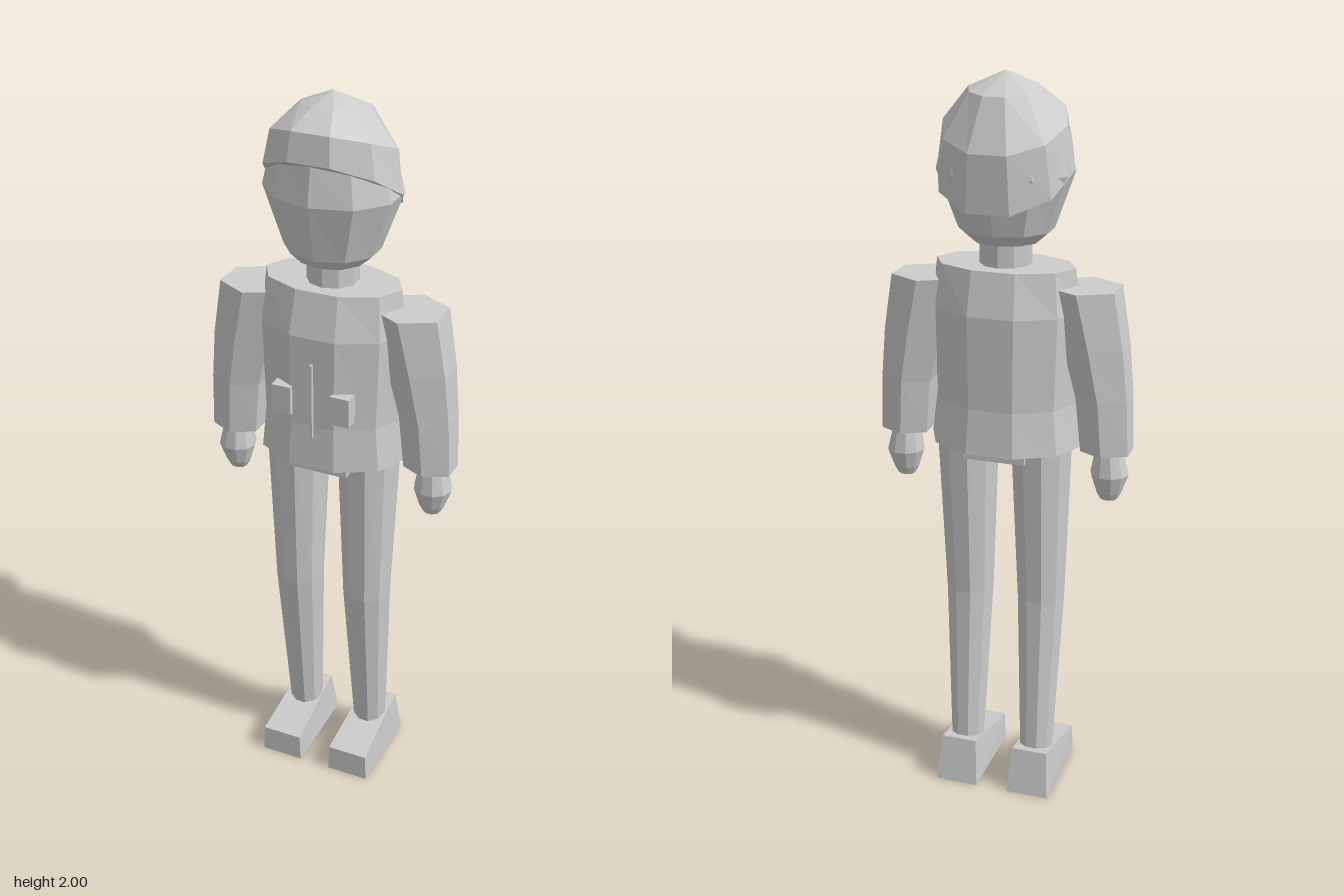
import * as THREE from 'three';

// Faceted solid through elliptical rings, listed bottom to top:
// [y, centreX, centreZ, radiusX, radiusZ, forwardTilt]
function loft(rings, sides, turn = 0) {
  const pos = [];
  const at = (r, i) => {
    const a = turn + (i / sides) * Math.PI * 2;
    const [y, cx, cz, rx, rz, tilt = 0] = r;
    return [cx + Math.cos(a) * rx, y + Math.sin(a) * tilt, cz + Math.sin(a) * rz];
  };
  const mid = (r) => [r[1], r[0], r[2]];
  const last = rings[rings.length - 1];
  for (let i = 0; i < sides; i++) {
    for (let k = 0; k < rings.length - 1; k++) {
      const a = at(rings[k], i), b = at(rings[k], i + 1);
      const c = at(rings[k + 1], i), d = at(rings[k + 1], i + 1);
      pos.push(...a, ...c, ...d, ...a, ...d, ...b);
    }
    pos.push(...mid(last), ...at(last, i + 1), ...at(last, i));
    pos.push(...mid(rings[0]), ...at(rings[0], i), ...at(rings[0], i + 1));
  }
  const g = new THREE.BufferGeometry();
  g.setAttribute('position', new THREE.Float32BufferAttribute(pos, 3));
  g.computeVertexNormals();
  return g;
}

function box(w, h, d, x, y, z) {
  return new THREE.BoxGeometry(w, h, d).translate(x, y, z);
}

// Wedge shoe: low toe, taller and narrower heel
function shoe(x) {
  const g = new THREE.BoxGeometry(0.12, 1, 0.27).toNonIndexed();
  const p = g.attributes.position;
  for (let i = 0; i < p.count; i++) {
    const top = p.getY(i) > 0, front = p.getZ(i) > 0;
    p.setY(i, top ? (front ? 0.08 : 0.13) : 0);
    if (top) p.setX(i, p.getX(i) * (front ? 0.95 : 0.83));
    if (top && !front) p.setZ(i, -0.11);
  }
  g.translate(x, 0, 0);
  g.computeVertexNormals();
  return g;
}

export function createModel() {
  const model = new THREE.Group();
  const grey = new THREE.MeshStandardMaterial({ color: 0xcccccc });
  grey.name = 'light grey';
  const add = (name, geometry) => {
    const m = new THREE.Mesh(geometry, grey);
    m.name = name;
    model.add(m);
  };
  const point = Math.PI / 2; // turns a decagon so that a corner faces front

  // Head, neck and tilted cap
  add('head', loft([
    [1.575, 0, 0.005, 0.09, 0.085],
    [1.605, 0, 0.005, 0.125, 0.11],
    [1.755, 0, 0, 0.18, 0.148],
    [1.86, 0, 0, 0.155, 0.13],
    [1.91, 0, 0, 0.10, 0.08],
  ], 10, point));
  add('neck', loft([[1.48, 0, 0, 0.068, 0.068], [1.6, 0, 0, 0.068, 0.068]], 10, point));
  add('cap', loft([
    [1.765, 0, -0.002, 0.182, 0.153, 0.1],
    [1.875, 0, -0.01, 0.163, 0.148, 0.06],
    [1.96, 0, -0.018, 0.092, 0.083, 0.012],
    [2.0, 0, 0, 0.001, 0.001],
  ], 10));

  // Jacket with front seam and pockets
  add('jacket', loft([
    [1.03, 0, -0.003, 0.207, 0.15],
    [1.15, 0, 0, 0.193, 0.138],
    [1.4, 0, 0, 0.202, 0.138],
    [1.515, 0, -0.002, 0.188, 0.108],
  ], 10));
  add('jacketSeam', box(0.008, 0.21, 0.03, 0, 1.225, 0.127));
  add('pelvis', box(0.17, 0.08, 0.215, 0, 1.04, 0));

  for (const s of [-1, 1]) {
    const side = s > 0 ? 'left' : 'right';
    add(side + 'Pocket', box(0.053, 0.08, 0.045, s * 0.082, 1.217, 0.1225));

    // Sleeve and hand
    add(side + 'Arm', loft([
      [1.03, s * 0.28, 0, 0.074, 0.065],
      [1.18, s * 0.27, 0, 0.079, 0.073],
      [1.32, s * 0.245, 0, 0.092, 0.083],
      [1.47, s * 0.213, 0, 0.1, 0.091],
    ], 6, Math.PI / 6));
    add(side + 'Hand', loft([
      [0.893, s * 0.288, 0, 0.024, 0.022],
      [0.915, s * 0.288, 0, 0.035, 0.034],
      [0.965, s * 0.289, 0, 0.052, 0.05],
      [1.02, s * 0.287, 0, 0.04, 0.042],
      [1.05, s * 0.285, 0, 0.035, 0.035],
    ], 10));

    // Leg bending back below the knee, and shoe
    add(side + 'Leg', loft([
      [0.1, s * 0.103, -0.037, 0.047, 0.05],
      [0.58, s * 0.103, -0.002, 0.067, 0.07],
      [1.06, s * 0.103, -0.007, 0.084, 0.097],
    ], 10));
    add(side + 'Shoe', shoe(s * 0.105));
  }
  return model;
}
